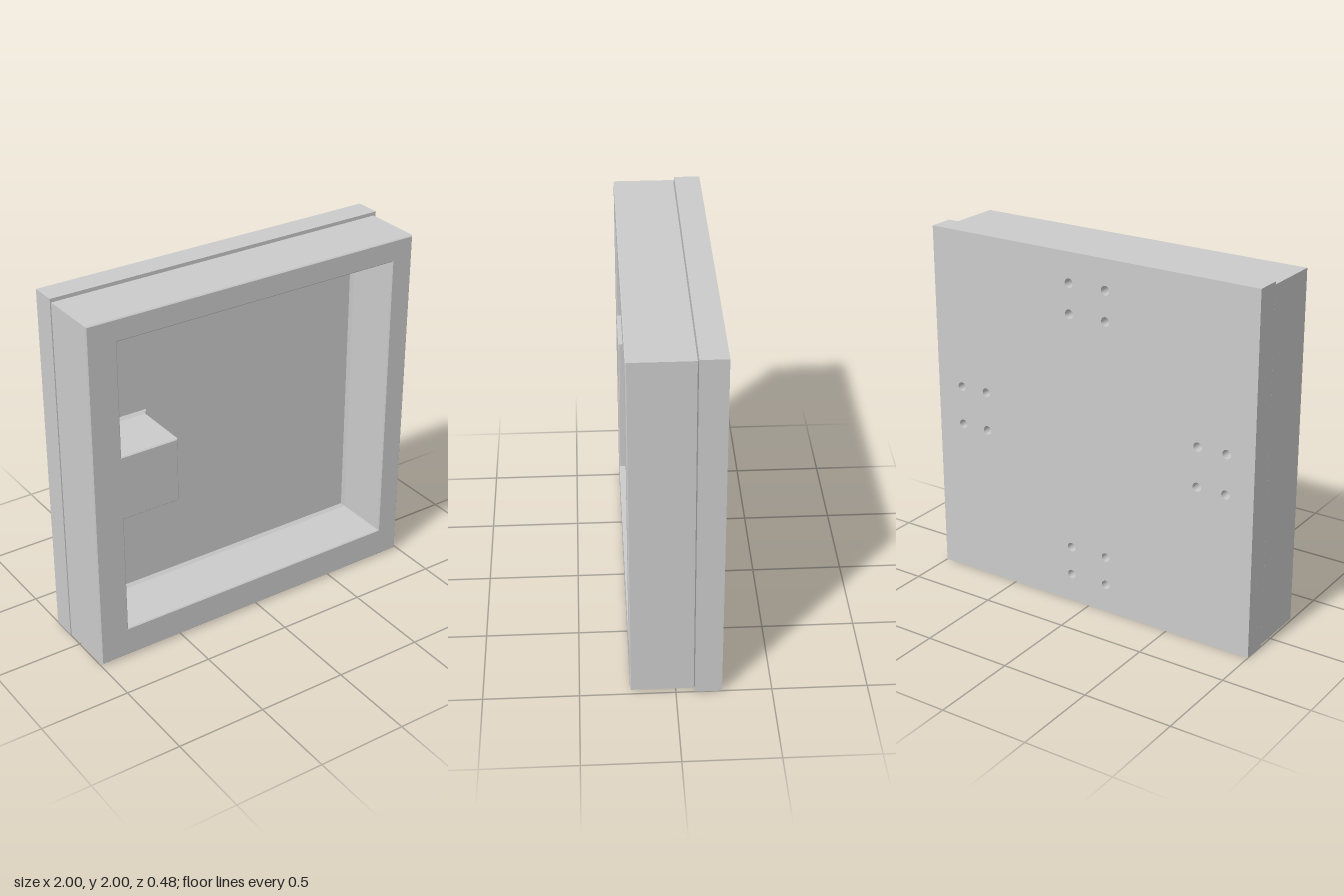
import * as THREE from 'three';

const material = new THREE.MeshStandardMaterial({ color: 0xcccccc });

const rectangle = (x0, x1, y0, y1) => [[x0, y0], [x1, y0], [x1, y1], [x0, y1]];
const toPoints = (list) => list.map(([x, y]) => new THREE.Vector2(x, y));

// Outline of the recess around the side block, shrunk inwards by d
function opening(d) {
  const left = -0.83 + d, right = 0.85 - d, bottom = 0.18 + d, top = 1.86 - d;
  const blockEnd = -0.5 + d, blockLow = 0.86 - d, blockHigh = 1.225 + d;
  return [
    [left, bottom], [right, bottom], [right, top], [left, top],
    [left, blockHigh], [blockEnd, blockHigh], [blockEnd, blockLow], [left, blockLow],
  ];
}

function addMesh(group, name, geometry, z = 0) {
  const mesh = new THREE.Mesh(geometry, material);
  mesh.name = name;
  mesh.position.z = z;
  group.add(mesh);
}

export function createModel() {
  const group = new THREE.Group();
  group.name = 'recessedPanel';

  // Back plate with four groups of four screw holes
  const plate = new THREE.Shape(toPoints(rectangle(-1, 1, 0, 2)));
  const clusters = [
    [0, 1.75, 0.112, 0.083], [0, 0.245, 0.112, 0.083],
    [0.755, 1, 0.084, 0.111], [-0.755, 1, 0.084, 0.111],
  ];
  for (const [cx, cy, dx, dy] of clusters) {
    for (const sx of [-1, 1]) {
      for (const sy of [-1, 1]) {
        const hole = new THREE.Path();
        hole.absarc(cx + sx * dx, cy + sy * dy, 0.025, 0, Math.PI * 2, true);
        plate.holes.push(hole);
      }
    }
  }
  addMesh(group, 'backPlate',
    new THREE.ExtrudeGeometry(plate, { depth: 0.14, bevelEnabled: false, curveSegments: 20 }), -0.24);

  // Front frame with the block standing in from its side, edges lightly chamfered
  const bevel = 0.006;
  const frame = new THREE.Shape(toPoints(rectangle(-0.997, 0.98, 0.01, 1.983)));
  frame.holes.push(new THREE.Path(toPoints(opening(0)).reverse()));
  addMesh(group, 'frontFrame', new THREE.ExtrudeGeometry(frame, {
    depth: 0.338 - 2 * bevel, bevelEnabled: true, bevelSegments: 1,
    bevelSize: bevel, bevelThickness: bevel, bevelOffset: -bevel,
  }), -0.1 + bevel);

  // Floor of the recess, closing the screw holes
  const floorZ = -0.095;
  const floor = new THREE.BoxGeometry(1.72, 1.72, 0.005);
  floor.translate(0.01, 1.02, floorZ - 0.0025);
  addMesh(group, 'recessFloor', floor);

  // Sloped strip where the recess walls meet the floor
  const size = 0.016;
  const outer = opening(0), inner = opening(size);
  const positions = [];
  outer.forEach((a, i) => {
    const j = (i + 1) % outer.length;
    const p = [...a, floorZ + size], q = [...outer[j], floorZ + size];
    const r = [...inner[j], floorZ], s = [...inner[i], floorZ];
    positions.push(...p, ...q, ...r, ...p, ...r, ...s);
  });
  const strip = new THREE.BufferGeometry();
  strip.setAttribute('position', new THREE.Float32BufferAttribute(positions, 3));
  strip.computeVertexNormals();
  addMesh(group, 'floorChamfer', strip);

  return group;
}
